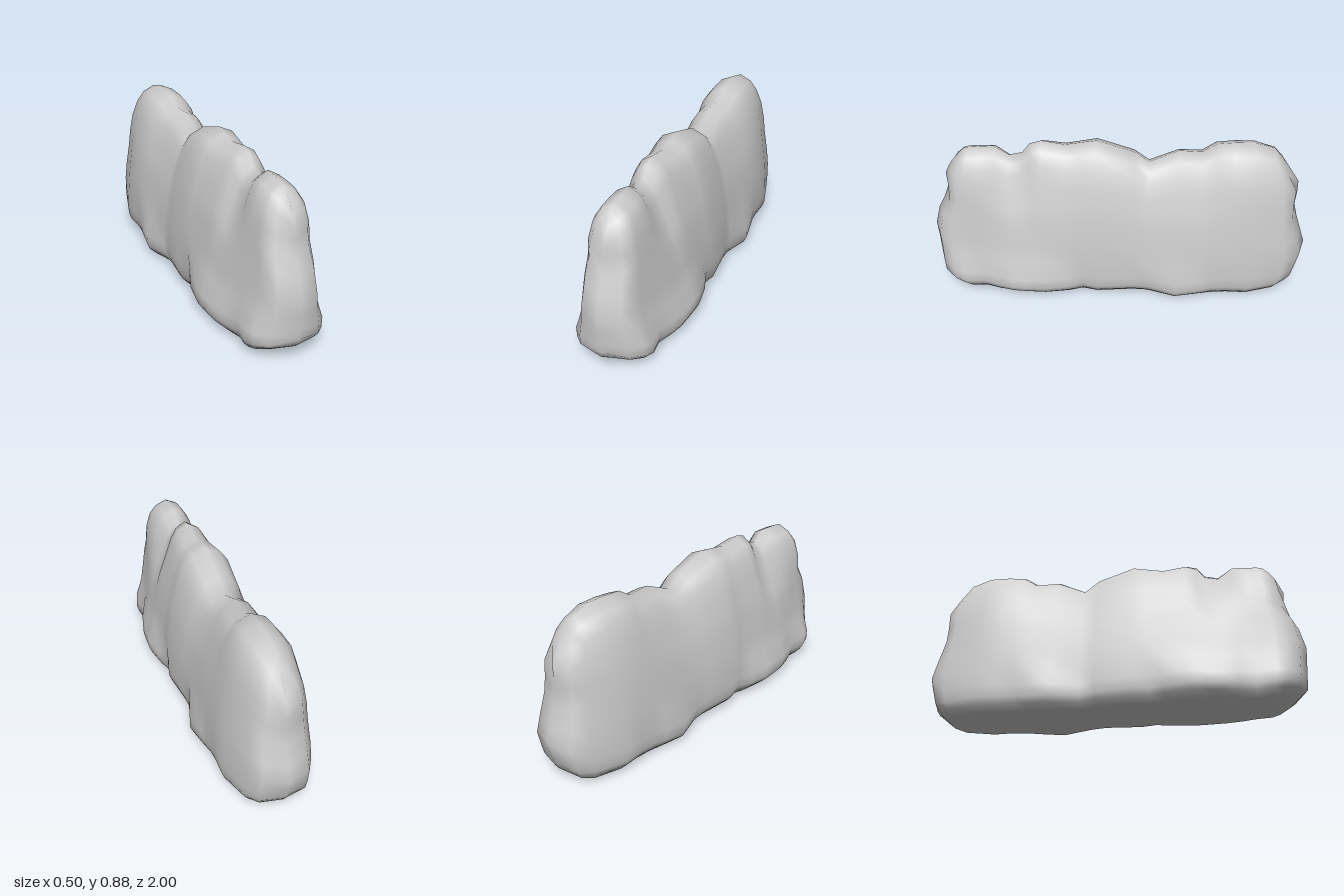
import * as THREE from 'three';
import { mergeVertices } from 'three/addons/utils/BufferGeometryUtils.js';

const { lerp, smoothstep } = THREE.MathUtils;

// Linear lookup in a list of [position, value] pairs sorted by position
function lookup(rows, t) {
  if (t <= rows[0][0]) return rows[0][1];
  for (let i = 1; i < rows.length; i++) {
    const a = rows[i - 1], b = rows[i];
    if (t <= b[0]) return lerp(a[1], b[1], (t - a[0]) / (b[0] - a[0]));
  }
  return rows[rows.length - 1][1];
}

// Stations from back to front:
// position, top height, foot half width, side half width, ridge width factor, underside height
const stations = [
  [-1, 0.72, 0, 0, 1, 0.08], [-0.96, 0.81, 0.125, 0.12, 1.05, 0.04], [-0.88, 0.85, 0.17, 0.17, 1.08, 0.025],
  [-0.69, 0.878, 0.22, 0.216, 1.08, 0.02], [-0.58, 0.877, 0.215, 0.222, 1.05, 0.02],
  [-0.49, 0.868, 0.218, 0.224, 1, 0.015], [-0.42, 0.82, 0.23, 0.222, 0.95, 0.01],
  [-0.3, 0.825, 0.25, 0.216, 0.9, 0.003], [-0.15, 0.755, 0.2, 0.206, 0.95, 0.012],
  [-0.07, 0.815, 0.205, 0.213, 1, 0.02], [0.12, 0.878, 0.226, 0.226, 1.03, 0.02],
  [0.2, 0.865, 0.202, 0.216, 1, 0.02], [0.28, 0.852, 0.232, 0.212, 0.95, 0.02],
  [0.4, 0.873, 0.255, 0.208, 0.85, 0.02], [0.46, 0.855, 0.252, 0.205, 0.76, 0.02],
  [0.5, 0.802, 0.248, 0.203, 0.68, 0.02], [0.57, 0.785, 0.242, 0.198, 0.7, 0.02],
  [0.65, 0.838, 0.222, 0.186, 0.95, 0.02], [0.74, 0.833, 0.19, 0.168, 1.15, 0.02],
  [0.84, 0.828, 0.205, 0.153, 1.25, 0.028], [0.9, 0.822, 0.185, 0.14, 1.25, 0.035],
  [0.96, 0.8, 0.13, 0.108, 1.2, 0.05], [1, 0.74, 0, 0, 1, 0.08],
];

// Cross-section: height fraction, half width fraction
const section = [
  [0, 0], [0, 0.78], [0.04, 0.92], [0.08, 0.98], [0.15, 1], [0.27, 0.97], [0.39, 0.94], [0.55, 0.86],
  [0.66, 0.78], [0.78, 0.66], [0.89, 0.52], [0.96, 0.33], [1, 0],
];

// Reach of the two ends at each height
const frontReach = [[0.04, 0.9], [0.1, 0.985], [0.35, 1], [0.48, 0.96], [0.56, 0.9], [0.68, 0.91], [0.82, 0.82]];
const backReach = [[0.03, 0.9], [0.1, 0.955], [0.25, 1], [0.4, 0.95], [0.49, 0.92], [0.64, 0.93], [0.84, 0.8]];

function bodyGeometry() {
  // One half of the ring, then its mirror without the two centre points
  const ring = [
    ...section,
    ...section.slice(1, -1).reverse().map(([v, w]) => [v, -w]),
  ];
  const n = ring.length, positions = [], indices = [];
  stations.forEach(([s, top, foot, side, ridge, low], i) => {
    const end = Math.max(0, (Math.abs(s) - 0.6) / 0.4) ** 2;
    ring.forEach(([v, w], j) => {
      const y = low + v * (top - low);
      const reach = lookup(s > 0 ? frontReach : backReach, y);
      const width = lerp(foot, side, smoothstep(v, 0.1, 0.36));
      const pinch = lerp(1, ridge, smoothstep(v, 0.5, 0.95));
      positions.push(w * width * pinch, y, s - Math.sign(s) * (1 - reach) * end);
      if (i < stations.length - 1) {
        const a = i * n + j, b = i * n + (j + 1) % n;
        indices.push(a, b, b + n, a, b + n, a + n);
      }
    });
  });
  const geometry = new THREE.BufferGeometry();
  geometry.setAttribute('position', new THREE.Float32BufferAttribute(positions, 3));
  geometry.setIndex(indices);
  const welded = mergeVertices(geometry, 1e-4);
  welded.computeVertexNormals();
  return welded;
}

export function createModel() {
  const model = new THREE.Group();
  model.name = 'longBoulder';
  const stone = new THREE.MeshStandardMaterial({ color: 0xcccccc });
  stone.name = 'stone grey';

  // Lumpy, tapering rock body
  const body = new THREE.Mesh(bodyGeometry(), stone);
  body.name = 'rockBody';
  model.add(body);
  return model;
}
